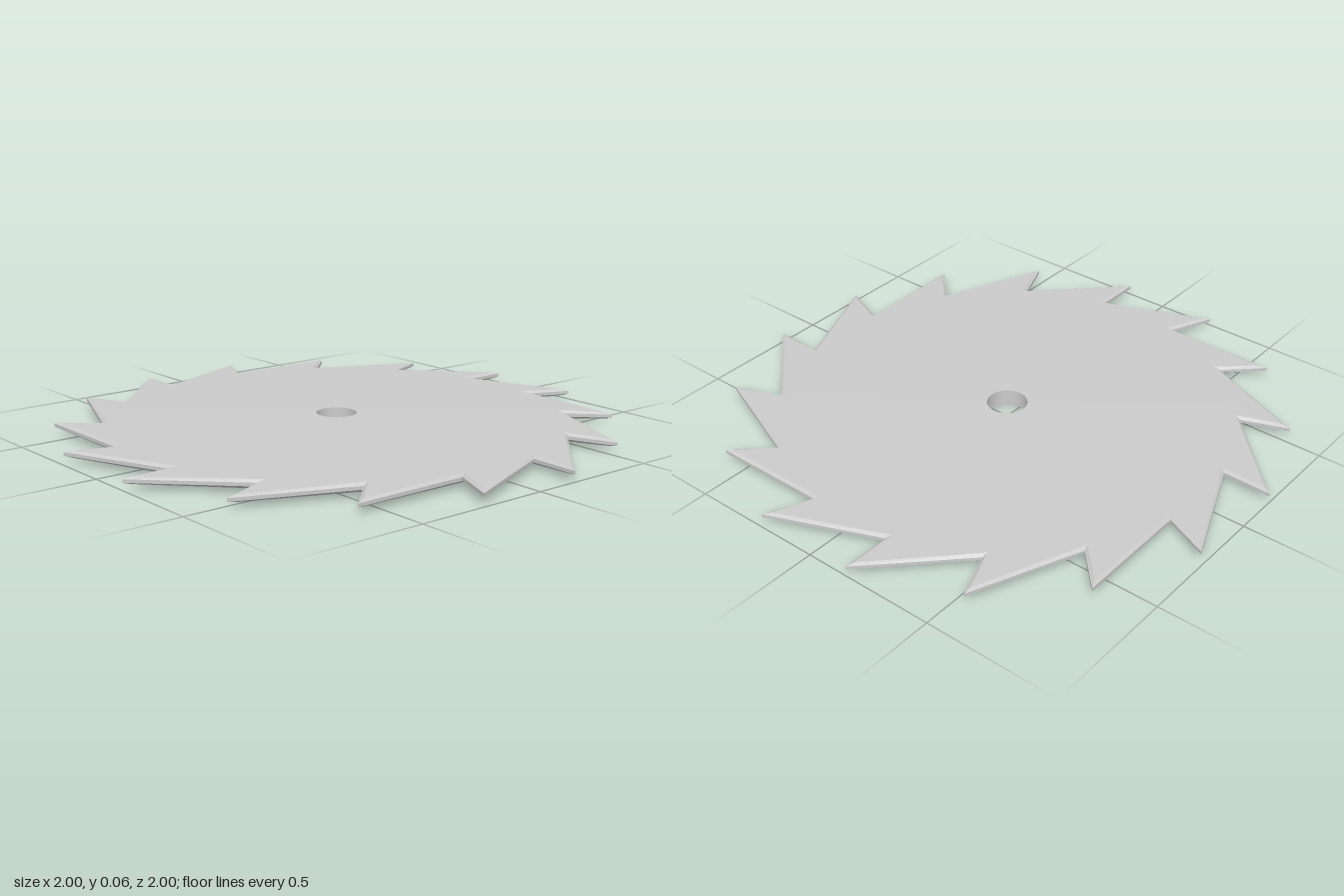
import * as THREE from 'three';
import { toCreasedNormals } from 'three/addons/utils/BufferGeometryUtils.js';

const TEETH = 16, STEP = (Math.PI * 2) / TEETH, SUB = 4;
const HOLE_R = 0.073, ROOT_R = 0.835, TIP_R = 1.012;
const MID_Y = 0.031, HUB_H = 0.031, RIM_H = 0.012, WALL_H = 0.006, BEVEL = 0.011;

const polar = (r, a) => new THREE.Vector2(r * Math.cos(a), r * Math.sin(a));
// Half thickness: thick at the hub, thin at the tips
const halfHeight = (r) => THREE.MathUtils.mapLinear(r, HOLE_R, 1, HUB_H, RIM_H);

// Move a closed outline inwards by d
function inset(points, d) {
  const n = points.length;
  return points.map((p, i) => {
    const u = p.clone().sub(points[(i + n - 1) % n]).normalize();
    const v = points[(i + 1) % n].clone().sub(p).normalize();
    const n1 = new THREE.Vector2(-u.y, u.x), n2 = new THREE.Vector2(-v.y, v.x);
    return n1.clone().add(n2).multiplyScalar(d / (1 + n1.dot(n2))).add(p);
  });
}

function meshFrom(name, positions, material) {
  const geometry = new THREE.BufferGeometry();
  geometry.setAttribute('position', new THREE.Float32BufferAttribute(positions, 3));
  const mesh = new THREE.Mesh(toCreasedNormals(geometry, 0.15), material);
  mesh.name = name;
  return mesh;
}

export function createModel() {
  const group = new THREE.Group();
  group.name = 'sawBlade';
  const material = new THREE.MeshStandardMaterial({ color: 0xcccccc });

  // Outline: alternating tooth roots and forward-leaning tips
  const outline = [];
  for (let i = 0; i < TEETH; i++) {
    const a = (i + 0.5) * STEP;
    outline.push(polar(ROOT_R, a), polar(TIP_R, a + STEP + THREE.MathUtils.degToRad(2.15)));
  }
  const inner = inset(outline, BEVEL);
  const count = outline.length;

  const faces = [], rim = [], bore = [];
  const at = (p, h) => [p.x, MID_Y + h, p.y];
  const face = (p, side) => at(p, side * halfHeight(p.length()));
  const tri = (out, a, b, c, flip) => out.push(...a, ...(flip ? c : b), ...(flip ? b : c));
  const quad = (out, a, b, c, d, flip) => {
    tri(out, a, b, c, flip);
    tri(out, a, c, d, flip);
  };

  for (const side of [1, -1]) {
    const top = side > 0;
    for (let i = 0; i < TEETH; i++) {
      const root = inner[2 * i], tip = inner[2 * i + 1], next = inner[(2 * i + 2) % count];
      const chord = (k) => face(root.clone().lerp(next, k / SUB), side);
      // Conical body from the hole to the tooth roots
      for (let k = 0; k < SUB; k++) {
        const a = (i + 0.5 + k / SUB) * STEP, b = a + STEP / SUB;
        quad(faces, face(polar(HOLE_R, a), side), chord(k), chord(k + 1),
          face(polar(HOLE_R, b), side), top);
        // One tooth, fanned from its tip
        tri(faces, chord(k), face(tip, side), chord(k + 1), top);
      }
    }
    // Bevel around the toothed edge
    for (let j = 0; j < count; j++) {
      const m = (j + 1) % count;
      quad(rim, face(inner[j], side), at(outline[j], side * WALL_H),
        at(outline[m], side * WALL_H), face(inner[m], side), top);
    }
  }

  // Narrow wall along the toothed edge
  for (let j = 0; j < count; j++) {
    const p = outline[j], q = outline[(j + 1) % count];
    quad(rim, at(p, -WALL_H), at(p, WALL_H), at(q, WALL_H), at(q, -WALL_H));
  }

  // Inside wall of the arbor hole
  for (let k = 0; k < TEETH * SUB; k++) {
    const p = polar(HOLE_R, (k / SUB + 0.5) * STEP);
    const q = polar(HOLE_R, ((k + 1) / SUB + 0.5) * STEP);
    quad(bore, at(p, -HUB_H), at(q, -HUB_H), at(q, HUB_H), at(p, HUB_H));
  }

  group.add(
    meshFrom('bladeFaces', faces, material),
    meshFrom('toothedRim', rim, material),
    meshFrom('arborHole', bore, material),
  );
  return group;
}
